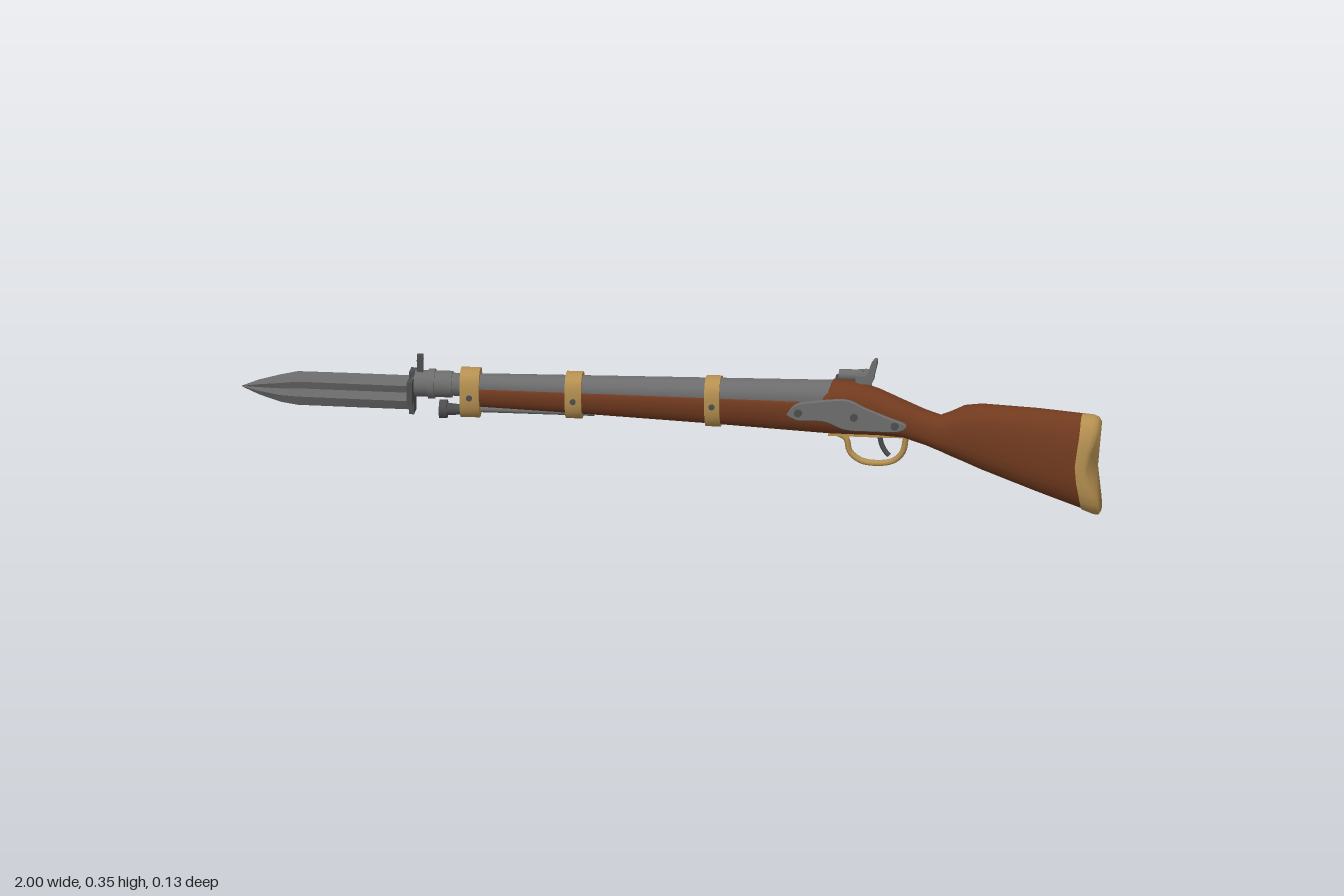
import * as THREE from 'three';
import { toCreasedNormals } from 'three/addons/utils/BufferGeometryUtils.js';

const material = (name, color) => {
  const m = new THREE.MeshStandardMaterial({ color });
  m.name = name;
  return m;
};

// Skin a list of closed rings (each running z -> y, ordered along +x) and cap both ends
function loft(rings, crease = 0.6) {
  const n = rings[0].length, pos = [], idx = [];
  rings.forEach(r => r.forEach(p => pos.push(...p)));
  for (let i = 0; i < rings.length - 1; i++) {
    for (let j = 0; j < n; j++) {
      const k = (j + 1) % n, a = i * n + j, b = i * n + k;
      idx.push(a, a + n, b + n, a, b + n, b);
    }
  }
  const cap = (ring, start, flip) => {
    const c = [0, 1, 2].map(d => ring.reduce((s, p) => s + p[d], 0) / n);
    const ci = pos.length / 3;
    pos.push(...c);
    for (let j = 0; j < n; j++) {
      const k = (j + 1) % n;
      if (flip) idx.push(ci, start + k, start + j);
      else idx.push(ci, start + j, start + k);
    }
  };
  cap(rings[0], 0, false);
  cap(rings[rings.length - 1], (rings.length - 1) * n, true);
  const g = new THREE.BufferGeometry();
  g.setAttribute('position', new THREE.Float32BufferAttribute(pos, 3));
  g.setIndex(idx);
  return toCreasedNormals(g, crease);
}

// Rounded outline: bottom, widest height, top, half width; bend hollows it along y
function ring(x, bot, mid, top, hw, bend = 0, e = 2.5, n = 24) {
  const pw = v => Math.sign(v) * Math.abs(v) ** (2 / e);
  return Array.from({ length: n }, (_, j) => {
    const a = (j / n) * Math.PI * 2, s = pw(Math.sin(a));
    const y = mid + s * (s > 0 ? top - mid : mid - bot);
    const dip = Math.exp(-(((y - 0.12) / 0.06) ** 2));
    return [x - bend * dip, y, hw * pw(Math.cos(a))];
  });
}

export function createModel() {
  const wood = material('walnut', 0x713a1f);
  const brass = material('brass', 0xb48f50);
  const steel = material('steel', 0x6c6c6c);
  const dark = material('dark steel', 0x4c4c4e);
  const group = new THREE.Group();

  const add = (name, geo, mat, x = 0, y = 0, z = 0) => {
    const m = new THREE.Mesh(geo, mat);
    m.name = name;
    m.position.set(x, y, z);
    group.add(m);
    return m;
  };
  const box = (name, mat, w, h, d, x, y, z) => add(name, new THREE.BoxGeometry(w, h, d), mat, x, y, z);
  const rod = (name, mat, r0, r1, x0, x1, y, z = 0, sides = 16) => {
    const g = new THREE.CylinderGeometry(r1, r0, x1 - x0, sides).rotateZ(-Math.PI / 2);
    return add(name, g, mat, (x0 + x1) / 2, y, z);
  };
  const pin = (name, mat, r, len, x, y, z) =>
    add(name, new THREE.CylinderGeometry(r, r, len, 12).rotateX(Math.PI / 2), mat, x, y, z);
  const plate = (name, mat, pts, depth, z, bevel = 0) => {
    const shape = new THREE.Shape();
    shape.moveTo(...pts[0]);
    shape.splineThru([...pts.slice(1), pts[0]].map(p => new THREE.Vector2(...p)));
    const g = new THREE.ExtrudeGeometry(shape, {
      depth, curveSegments: 24, bevelEnabled: bevel > 0, bevelSize: bevel, bevelThickness: bevel, bevelSegments: 1,
    });
    return add(name, toCreasedNormals(g, 0.5), mat, 0, 0, z);
  };

  // Fore-end, lock area, wrist and butt in one skin
  add('stock', loft([
    ring(-0.48, 0.213, 0.257, 0.262, 0.029),
    ring(-0.2, 0.203, 0.257, 0.262, 0.033),
    ring(0.1, 0.19, 0.257, 0.262, 0.038),
    ring(0.28, 0.181, 0.255, 0.262, 0.043),
    ring(0.345, 0.178, 0.25, 0.264, 0.046),
    ring(0.375, 0.177, 0.245, 0.303, 0.047),
    ring(0.42, 0.177, 0.24, 0.301, 0.048),
    ring(0.48, 0.177, 0.23, 0.284, 0.046),
    ring(0.54, 0.173, 0.213, 0.258, 0.042),
    ring(0.59, 0.157, 0.193, 0.237, 0.038),
    ring(0.625, 0.143, 0.184, 0.226, 0.038),
    ring(0.65, 0.132, 0.184, 0.236, 0.041),
    ring(0.68, 0.12, 0.184, 0.251, 0.044),
    ring(0.72, 0.103, 0.178, 0.256, 0.047),
    ring(0.85, 0.054, 0.15, 0.25, 0.05),
    ring(0.96, 0.015, 0.126, 0.241, 0.05, 0.012),
  ], 0.7), wood);

  // Hollowed butt plate
  add('buttPlate', loft([
    ring(0.955, 0.014, 0.126, 0.242, 0.051, 0.012),
    ring(0.983, 0.003, 0.122, 0.239, 0.051, 0.02),
    ring(0.994, 0.002, 0.12, 0.234, 0.047, 0.025),
    ring(1.0, 0.012, 0.12, 0.225, 0.04, 0.028),
  ], 0.7), brass);

  // Barrel and bayonet socket
  rod('barrel', steel, 0.027, 0.041, -0.53, 0.38, 0.262, 0, 12);
  rod('bayonetSocket', steel, 0.031, 0.031, -0.6, -0.51, 0.262);
  rod('socketCollar', steel, 0.035, 0.035, -0.565, -0.55, 0.262);
  box('frontSight', dark, 0.014, 0.045, 0.012, -0.585, 0.31, 0.004);
  pin('frontSightStud', dark, 0.007, 0.024, -0.585, 0.32, 0.004);

  // Cross guard
  box('guardUpright', dark, 0.012, 0.1, 0.045, -0.603, 0.243, 0);
  box('guardCrossbar', dark, 0.012, 0.056, 0.13, -0.603, 0.252, 0);

  // Blade with a shallow fuller on each face
  const bladeRing = ([x, bot, top, t]) => {
    const h = top - bot, at = f => bot + h * f;
    return [
      [x, at(0.5), t * 0.35], [x, at(0.72), t], [x, top, 0], [x, at(0.72), -t],
      [x, at(0.5), -t * 0.35], [x, at(0.28), -t], [x, bot, 0], [x, at(0.28), t],
    ];
  };
  add('bayonetBlade', loft([
    [-1, 0.24, 0.242, 0.001], [-0.96, 0.222, 0.258, 0.006], [-0.91, 0.206, 0.272, 0.009],
    [-0.87, 0.2, 0.281, 0.01], [-0.75, 0.199, 0.281, 0.012], [-0.6, 0.198, 0.28, 0.013],
  ].map(bladeRing), 0.25), steel);

  // Ramrod
  rod('ramrod', steel, 0.007, 0.007, -0.52, -0.18, 0.204, 0, 8);
  rod('ramrodTip', dark, 0.022, 0.022, -0.54, -0.522, 0.202, 0, 12);
  rod('ramrodHead', dark, 0.015, 0.012, -0.522, -0.49, 0.202, 0, 12);

  // Barrel bands and their screws
  const bands = [
    [-0.49, -0.445, 0.186, 0.303, 0.036],
    [-0.245, -0.207, 0.192, 0.301, 0.039],
    [0.08, 0.115, 0.184, 0.302, 0.043],
  ];
  for (const [x0, x1, bot, top, hw] of bands) {
    const mid = 0.256;
    add('barrelBand', loft([
      ring(x0, bot, mid, top, hw), ring(x1, bot, mid, top, hw),
    ]), brass);
    for (const s of [-1, 1]) pin('bandScrew', dark, 0.007, 0.006, (x0 + x1) / 2, 0.24, s * hw);
  }

  // Lock plates on both sides
  const lock = [
    [0.275, 0.23], [0.295, 0.253], [0.34, 0.262], [0.41, 0.268], [0.455, 0.25], [0.51, 0.228],
    [0.548, 0.212], [0.53, 0.199], [0.47, 0.198], [0.41, 0.2], [0.36, 0.218], [0.3, 0.219],
  ];
  for (const s of [-1, 1]) {
    plate('lockPlate', steel, lock, 0.012, s > 0 ? 0.04 : -0.052, 0.002);
    for (const [x, y] of [[0.3, 0.236], [0.43, 0.23], [0.525, 0.212]])
      pin('lockScrew', dark, 0.009, 0.008, x, y, s * 0.056);
  }

  // Hammer: side arm, cross neck, head and thumb spur
  plate('hammerArm', steel, [
    [0.452, 0.212], [0.474, 0.222], [0.474, 0.25], [0.458, 0.275], [0.462, 0.3],
    [0.445, 0.314], [0.425, 0.3], [0.432, 0.265], [0.432, 0.225],
  ], 0.01, -0.064);
  pin('hammerScrew', dark, 0.012, 0.012, 0.453, 0.233, -0.064);
  box('hammerNeck', steel, 0.035, 0.016, 0.062, 0.445, 0.306, -0.03);
  rod('hammerHead', steel, 0.014, 0.014, 0.385, 0.44, 0.305, -0.036, 10);
  plate('hammerSpur', steel, [
    [0.435, 0.298], [0.455, 0.318], [0.463, 0.343], [0.473, 0.355], [0.478, 0.348],
    [0.472, 0.32], [0.465, 0.3],
  ], 0.026, -0.015);
  add('nipple', new THREE.CylinderGeometry(0.008, 0.012, 0.04, 10), dark, 0.385, 0.285, -0.036);
  rod('bolster', steel, 0.014, 0.014, 0.36, 0.4, 0.272, -0.042, 10);

  // Trigger and its guard
  const path = (pts) => new THREE.CatmullRomCurve3(pts.map(([x, y]) => new THREE.Vector3(x, y, 0)));
  const guard = new THREE.TubeGeometry(path([
    [0.385, 0.176], [0.405, 0.165], [0.414, 0.133], [0.438, 0.113], [0.475, 0.107],
    [0.515, 0.114], [0.537, 0.136], [0.545, 0.178],
  ]), 40, 0.007, 8).scale(1, 1, 1.7);
  add('triggerGuard', guard, brass);
  box('guardTang', brass, 0.17, 0.008, 0.028, 0.45, 0.176, 0);
  add('trigger', new THREE.TubeGeometry(path([
    [0.482, 0.185], [0.487, 0.155], [0.495, 0.138], [0.505, 0.126],
  ]), 12, 0.006, 8), dark);

  return group;
}
